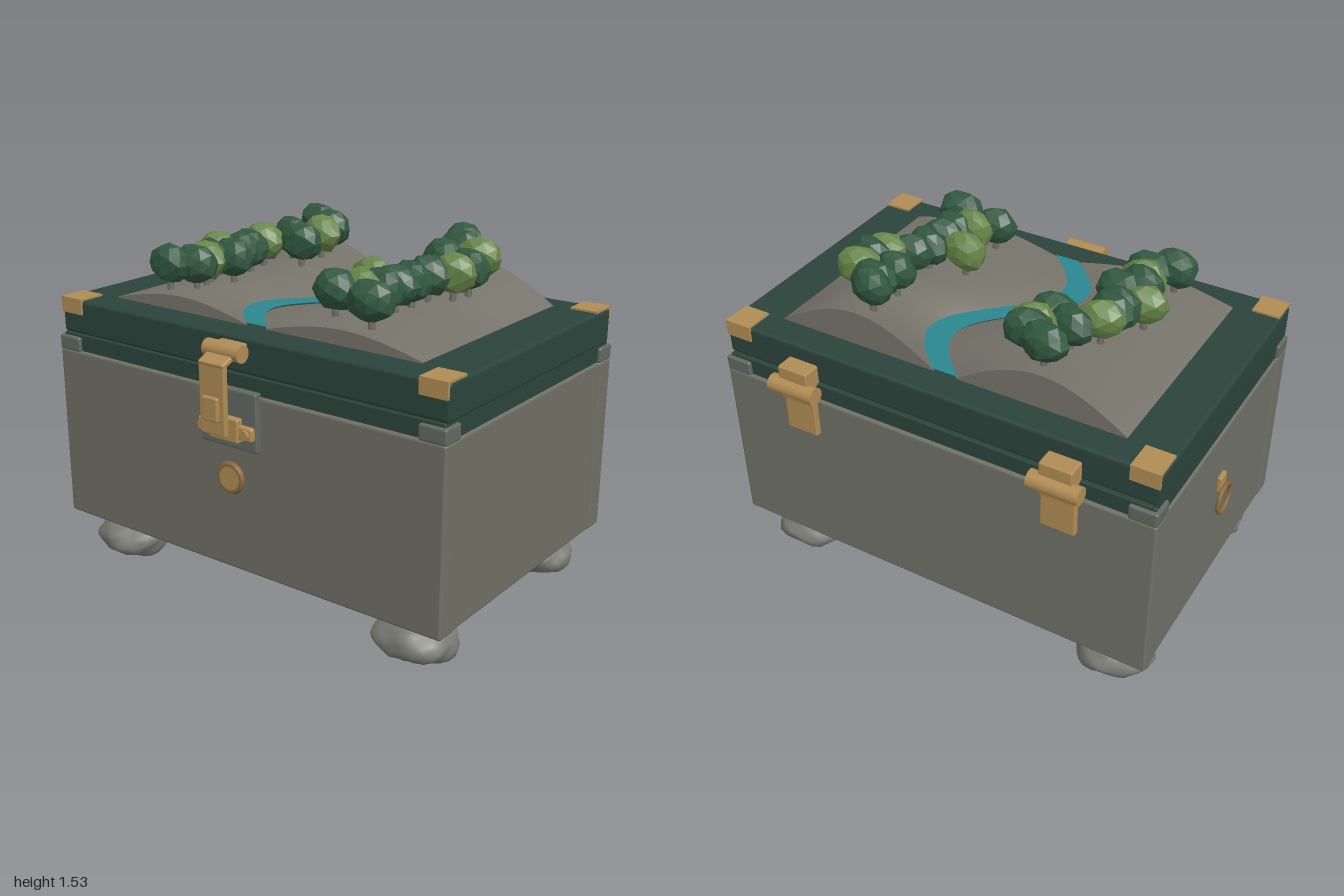
import * as THREE from 'three';
import { mergeVertices } from 'three/addons/utils/BufferGeometryUtils.js';
import { RoundedBoxGeometry } from 'three/addons/geometries/RoundedBoxGeometry.js';

const mat = (name, color, extra = {}) => new THREE.MeshStandardMaterial({ name, color, ...extra });

export function createModel() {
  const M = {
    stone: mat('stone', 0x6f7065),
    plate: mat('plateGrey', 0x626860),
    rock: mat('rock', 0x7a7b73),
    lid: mat('darkGreen', 0x2b443c),
    brass: mat('brass', 0xb08c54),
    bronze: mat('bronze', 0x8a6a3c),
    land: mat('land', 0x76736a, { side: THREE.DoubleSide }),
    water: mat('water', 0x2a8791, { side: THREE.DoubleSide }),
    leafDark: mat('leafDark', 0x31583f, { flatShading: true }),
    leafLight: mat('leafLight', 0x678549, { flatShading: true }),
  };
  const model = new THREE.Group();
  model.name = 'landscapeChest';

  const add = (name, geo, material, parent = model) => {
    const mesh = new THREE.Mesh(geo, material);
    mesh.name = name;
    parent.add(mesh);
    return mesh;
  };
  // Box given by its extents on each axis, with a small rounded edge
  const box = (name, material, x0, x1, y0, y1, z0, z1, r = 0.008) => {
    const size = [x1 - x0, y1 - y0, z1 - z0];
    const geo = r > 0 ? new RoundedBoxGeometry(...size, 2, Math.min(r, Math.min(...size) * 0.45)) : new THREE.BoxGeometry(...size);
    geo.translate((x0 + x1) / 2, (y0 + y1) / 2, (z0 + z1) / 2);
    return add(name, geo, material);
  };
  // Cylinder lying along x or z
  const rod = (name, material, r, length, axis, x, y, z, sides = 20) => {
    const geo = new THREE.CylinderGeometry(r, r, length, sides);
    if (axis === 'x') geo.rotateZ(Math.PI / 2);
    else geo.rotateX(Math.PI / 2);
    return add(name, geo.translate(x, y, z), material);
  };

  // Chest body
  const cx = 0.015;
  box('frontWall', M.stone, -0.97, 1.0, 0.22, 0.99, 0.53, 0.63, 0.012);
  box('backWall', M.stone, -0.97, 1.0, 0.22, 0.99, -0.68, -0.58, 0.012);
  for (const s of [-1, 1]) {
    const x = cx + s * 0.93;
    box('sideWall', M.stone, x - 0.05, x + 0.05, 0.22, 0.99, -0.585, 0.535, 0.012);
  }
  box('floor', M.stone, -0.885, 0.915, 0.185, 0.24, -0.58, 0.53);
  box('innerRim', M.lid, -0.955, 0.985, 0.97, 1.062, -0.665, 0.615, 0.006);
  for (const sx of [-1, 1]) for (const z of [0.58, -0.63]) {
    const x = cx + sx * 0.925;
    box('cornerCap', M.plate, x - 0.06, x + 0.06, 0.985, 1.05, z - 0.051, z + 0.051, 0.01);
  }

  // Boulder feet
  for (const x of [-0.757, 0.787]) for (const z of [0.455, -0.505]) {
    let geo = new THREE.IcosahedronGeometry(1, 4);
    geo.deleteAttribute('normal');
    geo.deleteAttribute('uv');
    geo = mergeVertices(geo, 1e-4);
    const p = geo.attributes.position;
    for (let i = 0; i < p.count; i++) {
      const [a, b, c] = [p.getX(i), p.getY(i), p.getZ(i)];
      const k = 0.97 + 0.04 * Math.sin(5 * a + 7 * x + 3 * b) + 0.035 * Math.sin(6 * c + 4 * b + 9 * z) + 0.03 * Math.sin(9 * b - 7 * a + 5 * c);
      p.setXYZ(i, a * k * 0.177, b * k * 0.096, c * k * 0.15);
    }
    geo.computeVertexNormals();
    add('foot', geo, M.rock).position.set(x, 0.1, z);
  }

  // Lid with brass corner brackets
  box('lid', M.lid, -0.965, 0.995, 1.06, 1.21, -0.652, 0.607, 0.015);
  for (const sx of [-1, 1]) for (const sz of [-1, 1]) {
    const x = cx + sx * 0.915, z = -0.0225 + sz * 0.572, lip = -0.0225 + sz * 0.632;
    box('cornerBracketTop', M.brass, x - 0.06, x + 0.06, 1.208, 1.218, z - 0.06, z + 0.063, 0);
    box('cornerBracketLip', M.brass, x - 0.06, x + 0.06, 1.15, 1.218, lip - 0.006, lip + 0.006, 0);
  }

  // Valley landscape: two hills that follow a winding river
  const Z0 = -0.525, Z1 = 0.47, X0 = -0.765, X1 = 0.795, BASE = 1.214;
  const riverX = z => 0.015 - 0.168 * Math.sin(2 * Math.PI * (z + 0.0275) / (Z1 - Z0));
  const hillHeight = z => {
    const t = Math.max(0, Math.min(1, (0.0 - z) / 0.525));
    return 0.058 + 0.087 * (t * 0.8 + 0.2 * t * t);
  };
  for (const side of [-1, 1]) {
    const at = (u, z) => {
      const near = riverX(z) + side * 0.05, far = side < 0 ? X0 : X1;
      const [a, b] = side < 0 ? [far, near] : [near, far];
      return [a + (b - a) * u, BASE + hillHeight(z) * Math.sin(Math.PI * u), z];
    };
    const geo = new THREE.PlaneGeometry(1, 1, 20, 28).rotateX(-Math.PI / 2);
    const p = geo.attributes.position;
    for (let i = 0; i < p.count; i++) p.setXYZ(i, ...at(p.getX(i) + 0.5, Z0 + (p.getZ(i) + 0.5) * (Z1 - Z0)));
    geo.computeVertexNormals();
    add('hill', geo, M.land);
    // Upright end faces of the hill
    for (const z of [Z0, Z1]) {
      const pts = [];
      for (let i = 0; i <= 20; i++) pts.push(new THREE.Vector2(...at(i / 20, z)));
      pts.push(new THREE.Vector2(pts[20].x, 1.205), new THREE.Vector2(pts[0].x, 1.205));
      add('hillEnd', new THREE.ShapeGeometry(new THREE.Shape(pts)).translate(0, 0, z), M.land);
    }
  }
  const river = new THREE.PlaneGeometry(0.115, Z1 - Z0, 1, 40).rotateX(-Math.PI / 2);
  const rp = river.attributes.position;
  for (let i = 0; i < rp.count; i++) {
    const z = rp.getZ(i) + (Z0 + Z1) / 2;
    rp.setXYZ(i, rp.getX(i) + riverX(z), BASE + 0.008, z);
  }
  add('river', river, M.water);

  // Trees: [x, z, light foliage]
  const trees = [
    [-0.37, -0.44, 0], [-0.27, -0.38, 0], [-0.26, -0.31, 1], [-0.38, -0.25, 0], [-0.28, -0.19, 0],
    [-0.45, -0.13, 1], [-0.45, -0.04, 0], [-0.46, 0.01, 0], [-0.54, 0.07, 1], [-0.4, 0.13, 0],
    [-0.47, 0.2, 0], [-0.45, 0.25, 1], [-0.44, 0.32, 0], [-0.53, 0.385, 0],
    [0.4, -0.44, 0], [0.43, -0.38, 0], [0.55, -0.31, 1], [0.42, -0.25, 0], [0.58, -0.19, 0],
    [0.55, -0.12, 1], [0.47, -0.06, 0], [0.45, 0.03, 0], [0.29, 0.07, 1], [0.44, 0.13, 0],
    [0.43, 0.2, 0], [0.36, 0.25, 1], [0.29, 0.32, 0], [0.5, 0.375, 0],
  ];
  trees.forEach(([x, z, light], n) => {
    const y = 1.32 + hillHeight(z);
    const tree = new THREE.Group();
    tree.name = 'tree';
    tree.position.set(x, y, z);
    model.add(tree);
    const crown = new THREE.IcosahedronGeometry(1, 1);
    const p = crown.attributes.position;
    for (let i = 0; i < p.count; i++) {
      const [a, b, c] = [p.getX(i), p.getY(i), p.getZ(i)];
      const k = 1 + 0.06 * Math.sin(4 * a + 5 * b + 3 * c + n * 2.1);
      p.setXYZ(i, a * k * 0.1, b * k * 0.085, c * k * 0.064);
    }
    add('treeCrown', crown, light ? M.leafLight : M.leafDark, tree).rotation.y = 0.25 * Math.sin(n * 1.7);
    add('treeTrunk', new THREE.CylinderGeometry(0.012, 0.016, 0.12, 6).translate(0, -0.095, 0), M.stone, tree);
  });

  // Front latch
  box('latchPlate', M.plate, -0.13, 0.16, 0.765, 1.01, 0.62, 0.657);
  box('latchCatch', M.brass, -0.125, 0.155, 0.815, 0.875, 0.65, 0.68, 0.012);
  box('latchStaple', M.brass, -0.06, 0.09, 0.8, 0.9, 0.65, 0.688);
  for (const s of [-1, 1]) rod('latchRivet', M.brass, 0.02, 0.02, 'z', cx + s * 0.11, 0.845, 0.682, 12);
  box('haspMount', M.brass, -0.05, 0.08, 1.14, 1.19, 0.6, 0.66);
  rod('haspBarrel', M.brass, 0.036, 0.18, 'x', cx, 1.163, 0.662);
  const arm = box('haspArm', M.brass, -0.05, 0.08, -0.012, 0.012, -0.045, 0.045);
  arm.position.set(0, 1.14, 0.705);
  arm.rotation.x = 0.4;
  box('haspStrap', M.brass, -0.05, 0.08, 0.84, 1.135, 0.72, 0.746);
  box('haspBoss', M.brass, -0.025, 0.055, 0.9, 1.0, 0.74, 0.762);

  // Round boss under the latch
  rod('bossDisc', M.brass, 0.055, 0.035, 'z', cx, 0.63, 0.638, 28);
  add('bossRim', new THREE.TorusGeometry(0.056, 0.013, 8, 32).translate(cx, 0.63, 0.645), M.bronze);

  // Rear hinges
  for (const s of [-1, 1]) {
    const x = cx + s * 0.595;
    rod('hingeBarrel', M.brass, 0.038, 0.215, 'x', x, 1.05, -0.725);
    box('hingeUpperLeaf', M.brass, x - 0.07, x + 0.07, 1.05, 1.143, -0.73, -0.645);
    box('hingeLowerLeaf', M.brass, x - 0.075, x + 0.075, 0.82, 1.01, -0.706, -0.675);
    box('hingeWeb', M.brass, x - 0.075, x + 0.075, 0.98, 1.05, -0.72, -0.69);
  }

  // Ring pull on the right side
  box('ringMount', M.brass, -0.984, -0.96, 0.69, 0.768, -0.06, 0.0);
  add('ringPull', new THREE.TorusGeometry(0.065, 0.009, 8, 32).rotateY(Math.PI / 2).translate(-0.991, 0.648, -0.03), M.bronze);

  return model;
}
